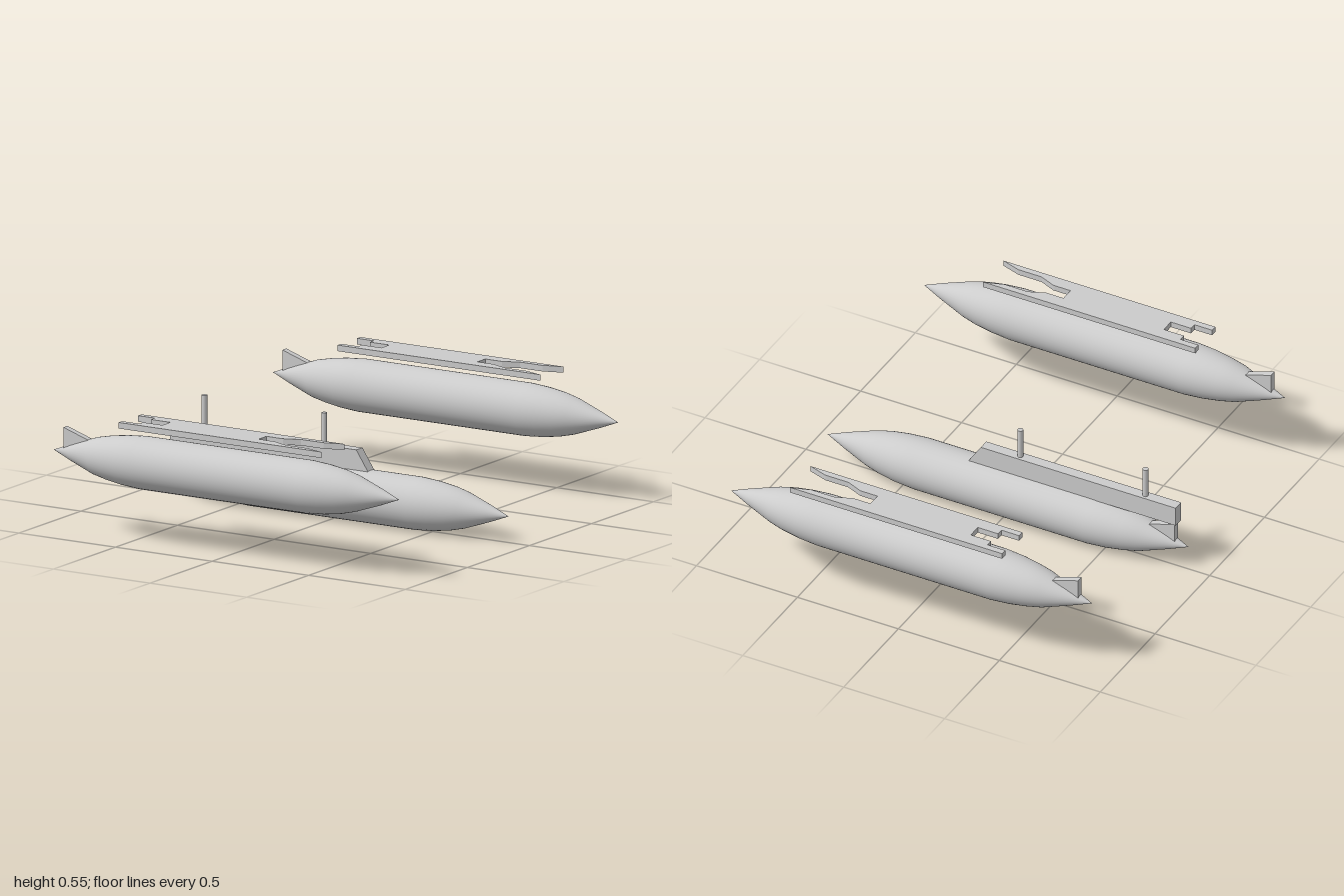
import * as THREE from 'three';

const material = new THREE.MeshStandardMaterial({ color: 0xcccccc });

function addMesh(parent, name, geometry) {
  const mesh = new THREE.Mesh(geometry, material);
  mesh.name = name;
  parent.add(mesh);
  return mesh;
}

// Extrudes a 2D outline, centred on its thickness
function slab(points, depth) {
  const shape = new THREE.Shape(points.map(([x, y]) => new THREE.Vector2(x, y)));
  const geometry = new THREE.ExtrudeGeometry(shape, { depth, bevelEnabled: false });
  return geometry.translate(0, 0, -depth / 2);
}

// Pointed streamlined body lying along x, with a tail fin on top
function createPod(name) {
  const pod = new THREE.Group();
  pod.name = name;
  const profile = [
    [-0.895, 0], [-0.8, 0.037], [-0.67, 0.083], [-0.6, 0.098], [-0.52, 0.11], [-0.43, 0.117],
    [0.43, 0.117], [0.52, 0.11], [0.6, 0.098], [0.67, 0.081], [0.8, 0.036], [0.893, 0],
  ].map(([x, r]) => new THREE.Vector2(r, x));
  const body = new THREE.LatheGeometry(profile, 40);
  body.rotateZ(-Math.PI / 2);
  addMesh(pod, 'podBody', body);

  const fin = [[-0.835, 0], [-0.7, 0.02], [-0.7, 0.066], [-0.835, 0.11]];
  addMesh(pod, 'tailFin', slab(fin, 0.032));
  return pod;
}

// Flat mounting plate, tapered notch in front and stepped notch behind
function createPlate() {
  const half = [
    [0.185, 0.032], [0.27, 0.032], [0.345, 0.063], [0.46, 0.063], [0.55, 0.092],
    [-0.5, 0.092], [-0.5, 0.063], [-0.412, 0.063], [-0.412, 0.032], [-0.312, 0.032],
  ];
  const mirrored = half.map(([x, y]) => [x, -y]).reverse();
  return slab([...half, ...mirrored], 0.027).rotateX(-Math.PI / 2);
}

export function createModel() {
  const model = new THREE.Group();
  model.name = 'podSet';

  // Outer pods with their plates floating above
  for (const side of [-1, 1]) {
    const pod = createPod(side > 0 ? 'frontPod' : 'rearPod');
    pod.position.set(0, 0.367, side * 0.882);
    addMesh(pod, 'mountingPlate', createPlate()).position.y = 0.175;
    model.add(pod);
  }

  // Centre pod with pylon and two pins
  const centre = createPod('centrePod');
  centre.position.y = 0.12;
  const pylon = [[-0.845, 0.112], [0.182, 0.112], [0.12, 0.205], [-0.845, 0.205]];
  addMesh(centre, 'pylon', slab(pylon, 0.05));
  for (const x of [-0.682, -0.062]) {
    const pin = new THREE.CylinderGeometry(0.013, 0.013, 0.16, 16);
    addMesh(centre, 'pylonPin', pin).position.set(x, 0.265, 0);
  }
  model.add(centre);

  return model;
}
